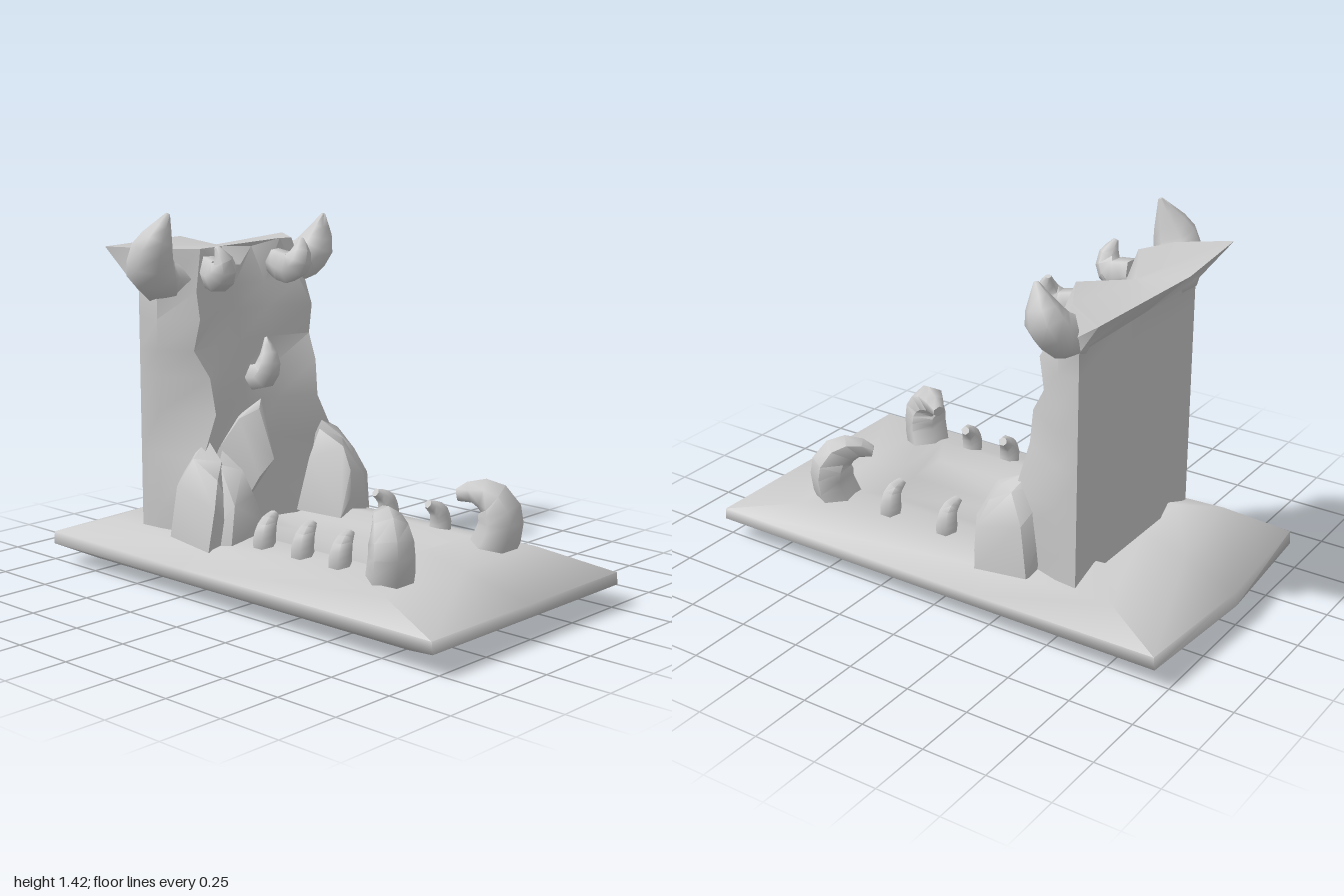
import * as THREE from 'three';
import { toCreasedNormals } from 'three/addons/utils/BufferGeometryUtils.js';
import { ConvexGeometry } from 'three/addons/geometries/ConvexGeometry.js';

const V = (p) => new THREE.Vector3(...p);
const material = new THREE.MeshStandardMaterial({ color: 0xcccccc });

// Skin a stack of equal-length rings, counter-clockwise about the stacking direction
function loft(rings, crease) {
  const n = rings[0].length, pos = [], index = [];
  rings.forEach((r) => r.forEach((p) => pos.push(p.x, p.y, p.z)));
  for (let i = 0; i < rings.length - 1; i++) {
    for (let j = 0; j < n; j++) {
      const a = i * n + j, b = i * n + (j + 1) % n;
      index.push(a, b, b + n, a, b + n, a + n);
    }
  }
  [rings[0], rings[rings.length - 1]].forEach((r, end) => {
    const c = r.reduce((s, p) => s.add(p), new THREE.Vector3()).divideScalar(n);
    const ci = pos.length / 3, o = end ? (rings.length - 1) * n : 0;
    pos.push(c.x, c.y, c.z);
    for (let j = 0; j < n; j++) {
      const a = o + j, b = o + (j + 1) % n;
      index.push(ci, end ? a : b, end ? b : a);
    }
  });
  const g = new THREE.BufferGeometry();
  g.setAttribute('position', new THREE.Float32BufferAttribute(pos, 3));
  g.setIndex(index);
  return toCreasedNormals(g, crease);
}

// Tapered claw along a curve; radii are spread evenly from root to tip
function claw(points, radii, wide = 1, sides = 7) {
  const curve = new THREE.CatmullRomCurve3(points.map(V));
  const steps = 8, f = curve.computeFrenetFrames(steps);
  const rings = [];
  for (let i = 0; i <= steps; i++) {
    const u = (i / steps) * (radii.length - 1), k = Math.min(Math.floor(u), radii.length - 2);
    const r = THREE.MathUtils.lerp(radii[k], radii[k + 1], u - k);
    const c = curve.getPointAt(i / steps), ring = [];
    for (let j = 0; j < sides; j++) {
      const a = (j / sides) * Math.PI * 2;
      ring.push(c.clone().addScaledVector(f.normals[i], r * Math.cos(a))
        .addScaledVector(f.binormals[i], r * wide * Math.sin(a)));
    }
    rings.push(ring);
  }
  return loft(rings, 1.1);
}

const chunk = (points) => toCreasedNormals(new ConvexGeometry(points.map(V)), 0.95);
const flip = (points, s) => points.map(([x, y, z]) => [x, y, z * s]);

export function createModel() {
  const group = new THREE.Group();
  const add = (name, geometry) => {
    const mesh = new THREE.Mesh(geometry, material);
    mesh.name = name;
    group.add(mesh);
  };

  // Bevelled slab with a shallow sunken top: right x, left corner x, left middle x, half depth, right y, left y
  const slab = [
    [0.55, -0.55, -0.55, 0.2, 0, 0],
    [0.82, -0.8, -0.82, 0.44, 0.03, 0.03],
    [1, -0.96, -1, 0.535, 0.08, 0.08],
    [0.995, -0.955, -0.99, 0.535, 0.125, 0.13],
    [0.7, -0.72, -0.78, 0.43, 0.19, 0.21],
    [0.51, -0.6, -0.6, 0.27, 0.225, 0.26],
    [0.46, -0.55, -0.55, 0.18, 0.19, 0.19],
  ].map(([r, lc, lm, z, yr, yl]) => [
    [r, yr, z], [r, yr, 0], [r, yr, -z], [-0.2, yr, -z], [lc, yl, -z],
    [lm, yl, 0], [lc, yl, z], [-0.2, yr, z],
  ].map(V));
  add('base', loft(slab, 1.42));

  // Upright wall with a hollowed front: y, ridge x, ridge z, centre x
  const section = ([y, rx, rz, cx]) => {
    const mx = THREE.MathUtils.lerp(cx, rx, 0.3);
    return [
      [cx, y, 0], [mx, y, -0.14], [rx, y, -rz], [-0.47, y, -0.4], [-0.56, y, -0.41],
      [-0.56, y, -0.1], [-0.56, y, 0.05], [-0.56, y, 0.41], [-0.47, y, 0.4], [rx, y, rz], [mx, y, 0.14],
    ].map(V);
  };
  const profile = [
    [0.15, -0.24, 0.34, -0.34], [0.3, -0.24, 0.36, -0.36], [0.5, -0.27, 0.36, -0.38],
    [0.66, -0.28, 0.28, -0.4], [0.8, -0.3, 0.29, -0.41], [0.9, -0.36, 0.315, -0.43],
    [1.02, -0.335, 0.305, -0.45], [1.12, -0.38, 0.28, -0.46],
  ];
  // Flared rim that turns the top of the wall into a hood, notched front and rear
  const rim = [
    [-0.47, 1.19, -0.04], [-0.49, 1.255, -0.12], [-0.42, 1.285, -0.21], [-0.5, 1.27, -0.36],
    [-0.68, 1.27, -0.49], [-0.67, 1.25, -0.1], [-0.73, 1.29, 0.04], [-0.68, 1.285, 0.47],
    [-0.5, 1.28, 0.35], [-0.42, 1.275, 0.22], [-0.45, 1.2, 0.08],
  ].map(V);
  add('hoodedWall', loft([...profile.map(section), rim], 0.7));

  // Horns under the hood
  add('leftHorn', claw([[-0.48, 1.15, 0.27], [-0.5, 1.17, 0.375], [-0.47, 1.25, 0.425], [-0.41, 1.42, 0.39]],
    [0.07, 0.095, 0.075, 0.008], 1.1));
  add('rightHorn', claw([[-0.48, 1.15, -0.29], [-0.5, 1.165, -0.395], [-0.47, 1.22, -0.46], [-0.42, 1.365, -0.465]],
    [0.06, 0.085, 0.075, 0.008], 1.1));
  for (const s of [1, -1]) {
    const side = s > 0 ? 'left' : 'right';
    add(side + 'BrowHorn', claw(flip([[-0.43, 1.2, 0.18], [-0.34, 1.175, 0.195], [-0.305, 1.22, 0.205],
      [-0.32, 1.29, 0.23]], s), [0.05, 0.065, 0.05, 0.01], 1.05, 6));

    // Clawed feet at the bottom of the wall
    add(side + 'Foot', chunk(flip([
      [-0.37, 0.2, 0.44], [-0.15, 0.18, 0.45], [-0.34, 0.4, 0.43], [-0.14, 0.34, 0.425], [-0.17, 0.44, 0.38],
      [-0.28, 0.51, 0.4], [-0.31, 0.57, 0.3], [-0.2, 0.5, 0.33], [-0.13, 0.2, 0.28], [-0.4, 0.2, 0.25],
      [-0.4, 0.55, 0.25],
    ], s)));
    add(side + 'FootClaw', chunk(flip([
      [-0.07, 0.28, 0.25], [-0.08, 0.2, 0.2], [-0.1, 0.19, 0.38], [-0.1, 0.35, 0.36], [-0.09, 0.38, 0.27],
      [-0.14, 0.47, 0.28], [-0.26, 0.525, 0.27], [-0.2, 0.49, 0.34], [-0.3, 0.2, 0.18], [-0.25, 0.42, 0.2],
      [-0.22, 0.2, 0.42],
    ], s)));

    // Hooked claws at the far corners of the platform
    add(side + 'CornerClaw', claw(flip([[0.59, 0.16, 0.285], [0.627, 0.28, 0.31], [0.61, 0.37, 0.3],
      [0.555, 0.405, 0.26], [0.49, 0.39, 0.22]], s), [0.09, 0.09, 0.085, 0.06, 0.025], 0.95, 6));
  }

  // Fangs on the front of the wall
  add('largeFang', chunk([
    [-0.28, 0.69, 0.04], [-0.25, 0.66, 0.08], [-0.27, 0.63, 0.17], [-0.3, 0.52, 0.25], [-0.33, 0.38, 0.29],
    [-0.2, 0.33, 0.2], [-0.3, 0.26, 0.13], [-0.42, 0.4, 0.04], [-0.15, 0.48, 0.1], [-0.16, 0.42, 0.17],
    [-0.42, 0.6, 0.03],
  ]));
  add('smallFang', claw([[-0.46, 0.75, -0.05], [-0.36, 0.76, -0.055], [-0.335, 0.82, -0.06], [-0.36, 0.91, -0.07]],
    [0.05, 0.06, 0.045, 0.006], 1, 6));

  // Rows of small teeth along both edges of the platform
  const teeth = [[0.01, 1], [0.205, 1], [0.39, 1], [0.07, -1], [0.335, -1]];
  for (const [x, s] of teeth) {
    add('tooth', claw(flip([[x, 0.17, 0.305], [x, 0.24, 0.315], [x, 0.29, 0.295], [x - 0.01, 0.32, 0.25]], s),
      [0.043, 0.045, 0.038, 0.018], 1, 6));
  }
  return group;
}
